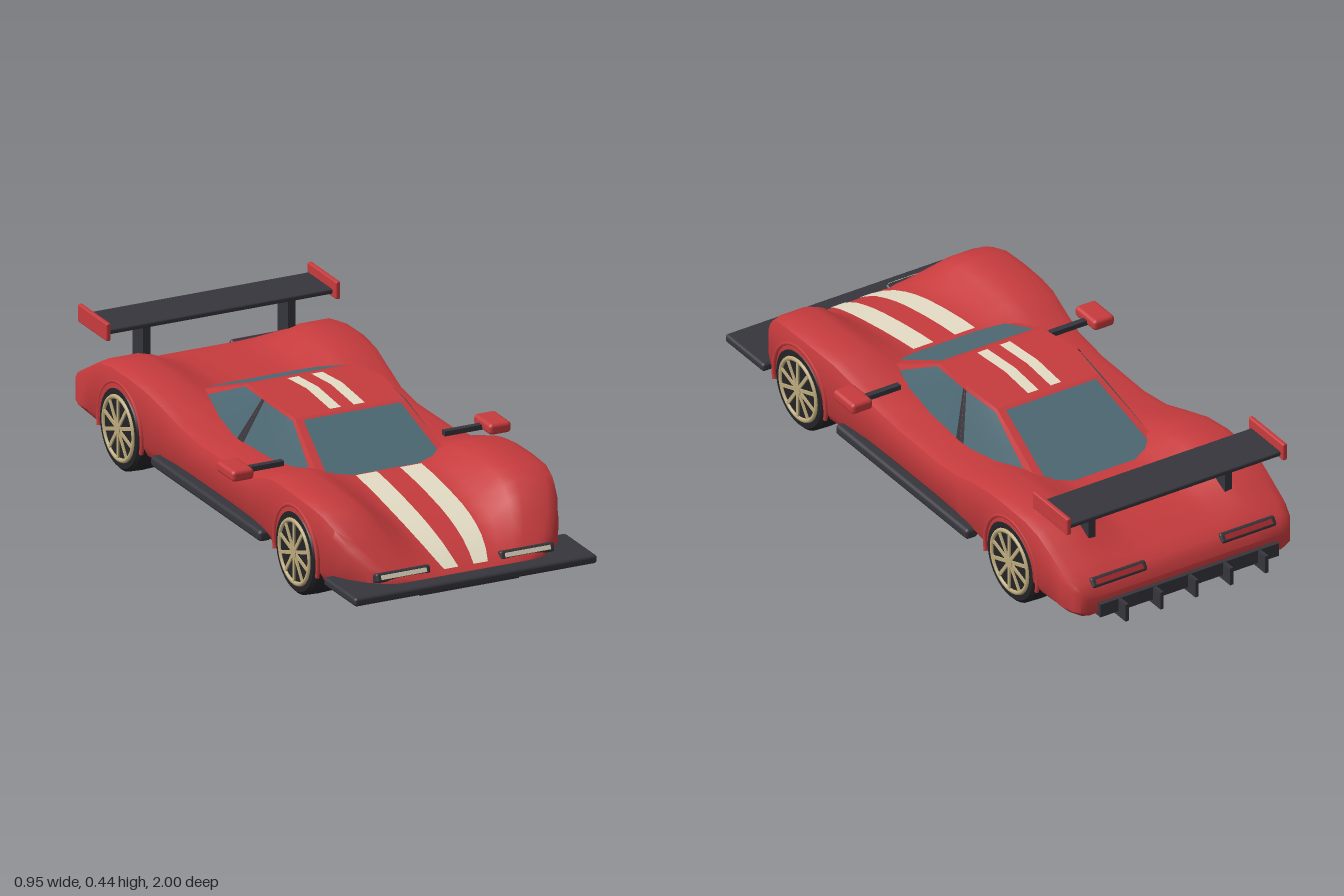
import * as THREE from 'three';
import { mergeGeometries, toCreasedNormals } from 'three/addons/utils/BufferGeometryUtils.js';
import { RoundedBoxGeometry } from 'three/addons/geometries/RoundedBoxGeometry.js';

const mat = (name, color, side = THREE.FrontSide) => {
  const m = new THREE.MeshStandardMaterial({ color, side });
  m.name = name;
  return m;
};

// Body stations, front to back: z, half width, fender height, centre height, underside
const STATIONS = [
  [0.945, 0.24, 0.122, 0.122, 0.08], [0.93, 0.27, 0.14, 0.135, 0.077], [0.89, 0.32, 0.18, 0.16, 0.075],
  [0.84, 0.36, 0.23, 0.185, 0.075], [0.79, 0.385, 0.277, 0.203, 0.076], [0.74, 0.4, 0.307, 0.218, 0.078],
  [0.68, 0.41, 0.322, 0.232, 0.08], [0.58, 0.412, 0.326, 0.25, 0.083], [0.48, 0.41, 0.325, 0.264, 0.085],
  [0.41, 0.405, 0.319, 0.271, 0.085], [0.33, 0.395, 0.295, 0.266, 0.085], [0.24, 0.387, 0.265, 0.258, 0.085],
  [0.1, 0.384, 0.25, 0.25, 0.085], [-0.13, 0.384, 0.247, 0.25, 0.085], [-0.25, 0.387, 0.262, 0.255, 0.085],
  [-0.35, 0.395, 0.292, 0.262, 0.085], [-0.45, 0.406, 0.318, 0.268, 0.085], [-0.55, 0.412, 0.327, 0.27, 0.085],
  [-0.66, 0.412, 0.325, 0.268, 0.085], [-0.73, 0.412, 0.312, 0.264, 0.086], [-0.8, 0.41, 0.275, 0.25, 0.088],
  [-0.87, 0.408, 0.236, 0.23, 0.09], [-0.915, 0.395, 0.212, 0.212, 0.095], [-0.935, 0.38, 0.19, 0.19, 0.102],
  [-0.945, 0.36, 0.165, 0.165, 0.11],
];

// Half cross-section, from underside round the fender to the hood centre
function halfSection([, w, f, c, b]) {
  const k = w / 0.415, t = f - b, h = f - c;
  return [
    [w - 0.03, b], [w, b + 0.2 * t], [w, b + 0.82 * t], [w - 0.008, b + 0.95 * t], [w - 0.035, f],
    [0.28 * k, f], [0.235 * k, c + 0.8 * h], [0.17 * k, c + 0.2 * h], [0.115 * k, c], [0.04 * k, c],
  ];
}

function geometryFrom(pos, idx) {
  const g = new THREE.BufferGeometry();
  g.setAttribute('position', new THREE.Float32BufferAttribute(pos, 3));
  g.setIndex(idx);
  g.computeVertexNormals();
  return g;
}

function bodyGeometry() {
  const pos = [], idx = [];
  let n = 0;
  for (const s of STATIONS) {
    const half = halfSection(s);
    const ring = [...half, ...half.slice().reverse().map(([x, y]) => [-x, y])];
    n = ring.length;
    ring.forEach(([x, y]) => pos.push(x, y, s[0]));
  }
  const last = (STATIONS.length - 1) * n;
  for (let i = 0; i < STATIONS.length - 1; i++) {
    for (let j = 0; j < n; j++) {
      const k = (j + 1) % n, a = i * n + j, b = a + n, c = (i + 1) * n + k, d = i * n + k;
      idx.push(a, b, c, a, c, d);
    }
  }
  // End caps, bridged straight across
  for (let j = 0; j < n / 2 - 1; j++) {
    const a = j, b = j + 1, c = n - 2 - j, d = n - 1 - j;
    idx.push(a, b, c, a, c, d, last + a, last + c, last + b, last + a, last + d, last + c);
  }
  return toCreasedNormals(geometryFrom(pos, idx), 0.75);
}

// Strip along z from rows of [xInner, xOuter, y, z], listed front to back
function stripGeometry(rows, s) {
  const pos = [], idx = [];
  rows.forEach(([x0, x1, y, z], i) => {
    pos.push(...(s > 0 ? [x0, y, z, x1, y, z] : [-x1, y, z, -x0, y, z]));
    if (i) idx.push(2 * i - 2, 2 * i - 1, 2 * i + 1, 2 * i - 2, 2 * i + 1, 2 * i);
  });
  return geometryFrom(pos, idx);
}

// Bilinear panel between four corners, cropped to a u/v range and lifted off its surface
function patch([a, b, c, d], [u0, u1, v0, v1] = [0, 1, 0, 1], lift = 0, n = 6) {
  const pos = [], idx = [];
  const A = new THREE.Vector3(...a), B = new THREE.Vector3(...b);
  const C = new THREE.Vector3(...c), D = new THREE.Vector3(...d);
  for (let i = 0; i <= n; i++) {
    for (let j = 0; j <= n; j++) {
      const u = u0 + (u1 - u0) * j / n, v = v0 + (v1 - v0) * i / n;
      const low = A.clone().lerp(B, u), high = D.clone().lerp(C, u);
      const du = A.clone().lerp(D, v).sub(B.clone().lerp(C, v)).negate();
      const normal = du.cross(high.clone().sub(low)).normalize();
      const p = low.lerp(high, v).addScaledVector(normal, lift);
      pos.push(p.x, p.y, p.z);
      if (i < n && j < n) {
        const q = i * (n + 1) + j;
        idx.push(q, q + 1, q + n + 2, q, q + n + 2, q + n + 1);
      }
    }
  }
  return geometryFrom(pos, idx);
}
const flip = ([x, y, z]) => [-x, y, z];
const mirrorQuad = ([a, b, c, d]) => [b, a, d, c].map(flip);
const mirrorRange = ([u0, u1, v0, v1]) => [1 - u1, 1 - u0, v0, v1];

export function createModel() {
  const red = mat('red paint', 0xc63b3d);
  const cream = mat('cream', 0xe4dcc4, THREE.DoubleSide);
  const dark = mat('dark trim', 0x35353c, THREE.DoubleSide);
  const rubber = mat('tyre rubber', 0x232327);
  const glass = mat('tinted glass', 0x4d6974, THREE.DoubleSide);
  const gold = mat('wheel gold', 0xbcaa7c);
  const lampRed = mat('tail lamp red', 0xb02c30);

  const model = new THREE.Group();
  model.name = 'raceCar';
  const add = (name, geo, material, x = 0, y = 0, z = 0, parent = model) => {
    const m = new THREE.Mesh(geo, material);
    m.name = name;
    m.position.set(x, y, z);
    parent.add(m);
    return m;
  };
  const box = (name, [w, h, d], material, [x, y, z], parent) =>
    add(name, new THREE.BoxGeometry(w, h, d), material, x, y, z, parent);
  const rounded = (name, [w, h, d], r, material, [x, y, z], parent) =>
    add(name, new RoundedBoxGeometry(w, h, d, 2, r), material, x, y, z, parent);

  add('body', bodyGeometry(), red);

  // Cabin corners on the +x side: front, middle, rear
  const lowF = [0.23, 0.25, 0.43], lowM = [0.26, 0.235, -0.08], lowR = [0.225, 0.25, -0.52];
  const topF = [0.187, 0.383, 0.15], topM = [0.2, 0.398, -0.02], topR = [0.185, 0.386, -0.17];
  const front = [flip(lowF), lowF, topF, flip(topF)];
  const rear = [lowR, flip(lowR), flip(topR), topR];
  const sideF = [lowF, lowM, topM, topF], sideR = [lowM, lowR, topR, topM];
  const roofF = [flip(topF), topF, topM, flip(topM)], roofR = [flip(topM), topM, topR, flip(topR)];
  const shell = [front, rear, sideF, sideR, mirrorQuad(sideF), mirrorQuad(sideR), roofF, roofR];
  add('cabin', mergeGeometries(shell.map((q) => patch(q))), red);
  add('windscreen', patch(front, [0.06, 0.94, 0, 0.95], 0.004), glass);
  add('rearWindow', patch(rear, [0.06, 0.94, 0, 0.96], 0.004), glass);

  const hoodRows = STATIONS.filter(([z]) => z < 0.94 && z > 0.4)
    .map(([z, w, , c]) => [0.04 * w / 0.415, 0.115 * w / 0.415, c + 0.003, z]);
  const roofRows = [[0.022, 0.06, 0.3875, 0.135], [0.022, 0.06, 0.401, -0.02], [0.022, 0.06, 0.3905, -0.15]];

  for (const s of [1, -1]) {
    const quad = (q) => (s > 0 ? q : mirrorQuad(q));
    const range = (r) => (s > 0 ? r : mirrorRange(r));
    add('sideWindowFront', patch(quad(sideF), range([0.1, 0.96, 0.05, 0.93]), 0.004), glass);
    add('sideWindowRear', patch(quad(sideR), range([0.04, 0.86, 0.05, 0.93]), 0.004), glass);
    add('doorPillar', patch(quad(sideF), range([0.955, 1, 0.05, 0.94]), 0.005), dark);
    add('doorPillar', patch(quad(sideR), range([0, 0.045, 0.05, 0.94]), 0.005), dark);
    add('hoodStripe', stripGeometry(hoodRows, s), cream);
    add('roofStripe', stripGeometry(roofRows, s), cream);

    // Side skirt and mirror
    rounded('sideSkirt', [0.045, 0.036, 0.735], 0.012, dark, [s * 0.4, 0.112, 0.005]);
    box('mirrorArm', [0.15, 0.016, 0.02], dark, [s * 0.35, 0.286, 0.24]);
    rounded('mirror', [0.075, 0.036, 0.115], 0.012, red, [s * 0.44, 0.292, 0.245]);

    // Lamps
    const head = new THREE.Group();
    head.name = 'headlight';
    head.position.set(s * 0.212, 0.138, 0.905);
    head.rotation.x = -0.35;
    rounded('headlightHousing', [0.185, 0.03, 0.05], 0.008, dark, [0, 0, 0], head);
    box('headlightLens', [0.155, 0.014, 0.006], cream, [0, 0, 0.025], head);
    const tail = new THREE.Group();
    tail.name = 'tailLight';
    tail.position.set(s * 0.235, 0.2, -0.916);
    tail.rotation.x = 0.6;
    rounded('tailLightHousing', [0.2, 0.034, 0.03], 0.008, dark, [0, 0, 0], tail);
    box('tailLightLens', [0.17, 0.016, 0.006], lampRed, [0, 0, -0.015], tail);
    model.add(head, tail);

    // Rear wing supports
    box('wingStrut', [0.026, 0.13, 0.07], dark, [s * 0.248, 0.335, -0.76]);
    rounded('wingEndPlate', [0.016, 0.058, 0.195], 0.005, red, [s * 0.393, 0.411, -0.793]);

    // Wheels
    for (const z of [0.59, -0.59]) {
      const wheel = new THREE.Group();
      wheel.name = 'wheel';
      wheel.position.set(s * 0.355, 0.137, z);
      const tyre = [[0, -0.058], [0.125, -0.058], [0.135, -0.048], [0.137, 0], [0.135, 0.048], [0.125, 0.058], [0, 0.058]];
      const tyreGeo = toCreasedNormals(new THREE.LatheGeometry(tyre.map(([r, y]) => new THREE.Vector2(r, y)), 36), 0.6);
      add('tyre', tyreGeo.rotateZ(-Math.PI / 2), rubber, 0, 0, 0, wheel);
      const rim = new THREE.TorusGeometry(0.1, 0.008, 8, 36).rotateY(Math.PI / 2);
      add('rim', rim, gold, s * 0.057, 0, 0, wheel);
      add('hub', new THREE.CylinderGeometry(0.018, 0.018, 0.01, 16).rotateZ(Math.PI / 2), gold, s * 0.06, 0, 0, wheel);
      for (let i = 0; i < 10; i++) {
        const spoke = new THREE.BoxGeometry(0.008, 0.086, 0.011).translate(0, 0.055, 0).rotateX(i * Math.PI / 5);
        add('spoke', spoke, gold, s * 0.059, 0, 0, wheel);
      }
      model.add(wheel);
      const arch = new THREE.TorusGeometry(0.146, 0.007, 6, 32, Math.PI * 1.16);
      add('wheelArch', arch.rotateZ(-Math.PI * 0.08).rotateY(Math.PI / 2), red, s * 0.408, 0.137, z);
    }
  }

  // Front aero and grille
  rounded('frontSplitter', [0.83, 0.028, 0.215], 0.01, dark, [0, 0.109, 0.8925]);
  box('grille', [0.34, 0.022, 0.03], dark, [0, 0.086, 0.938]);
  for (let i = 0; i < 12; i++) box('grilleBar', [0.006, 0.014, 0.006], cream, [-0.154 + i * 0.028, 0.087, 0.953]);

  // Floor, wing and diffuser
  box('floorPanel', [0.6, 0.016, 0.75], dark, [0, 0.08, -0.065]);
  rounded('rearWing', [0.77, 0.016, 0.165], 0.005, dark, [0, 0.403, -0.797]);
  box('diffuser', [0.65, 0.045, 0.03], dark, [0, 0.122, -0.945]);
  for (let i = -2; i <= 2; i++) box('diffuserFin', [0.012, 0.06, 0.14], dark, [i * 0.127, 0.113, -0.93]);

  return model;
}
